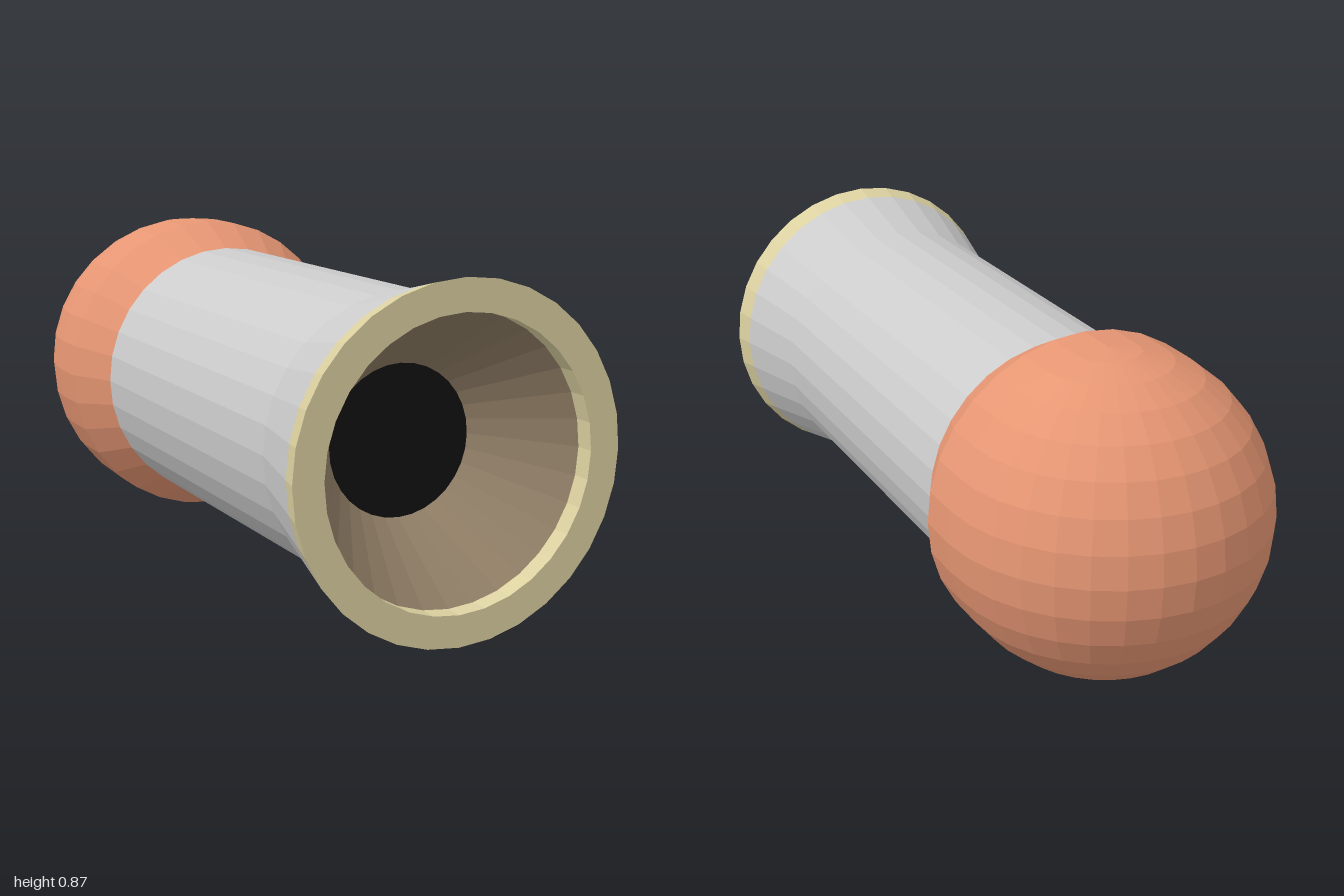
import * as THREE from 'three';

const SIDES = 32;
const R = 0.433; // largest radius, also the height of the axis

const material = (color) => new THREE.MeshStandardMaterial({ color, flatShading: true });

// Surface turned about the z axis from [radius, z] points; rising z faces outward
function turned(name, points, mat) {
  const profile = points.map(([r, z]) => new THREE.Vector2(r, z));
  const geometry = new THREE.LatheGeometry(profile, SIDES).rotateX(Math.PI / 2);
  const mesh = new THREE.Mesh(geometry, mat);
  mesh.name = name;
  return mesh;
}

export function createModel() {
  const group = new THREE.Group();
  group.name = 'tubeWithBallEnd';

  const grey = material(0xcccccc);
  const orange = material(0xe69673);
  const cream = material(0xdbd0a0);
  const brown = material(0x8f7d65);
  const black = material(0x111111);

  // Straight tube with a flared mouth
  group.add(turned('body', [[0.366, -0.4], [0.366, 0.71], [0.419, 0.94]], grey));

  // Rim ring with a short inner lip
  group.add(turned('rim', [[0.419, 0.94], [R, 1], [0.354, 1], [0.354, 0.95]], cream));

  // Funnel inside the mouth, closed by a dark disc
  group.add(turned('funnel', [[0.354, 0.95], [0.192, 0.71]], brown));
  group.add(turned('bore', [[0.192, 0.71], [0, 0.71]], black));

  // Collar that leads from the ball to the tube
  group.add(turned('collar', [[R, -0.567], [R, -0.45], [0.366, -0.32]], orange));

  // Ball end, poles up and down
  const ball = new THREE.Mesh(new THREE.SphereGeometry(R, SIDES, SIDES / 2), orange);
  ball.name = 'ball';
  ball.position.z = -0.567;
  group.add(ball);

  group.position.y = R;
  const model = new THREE.Group();
  model.add(group);
  return model;
}
